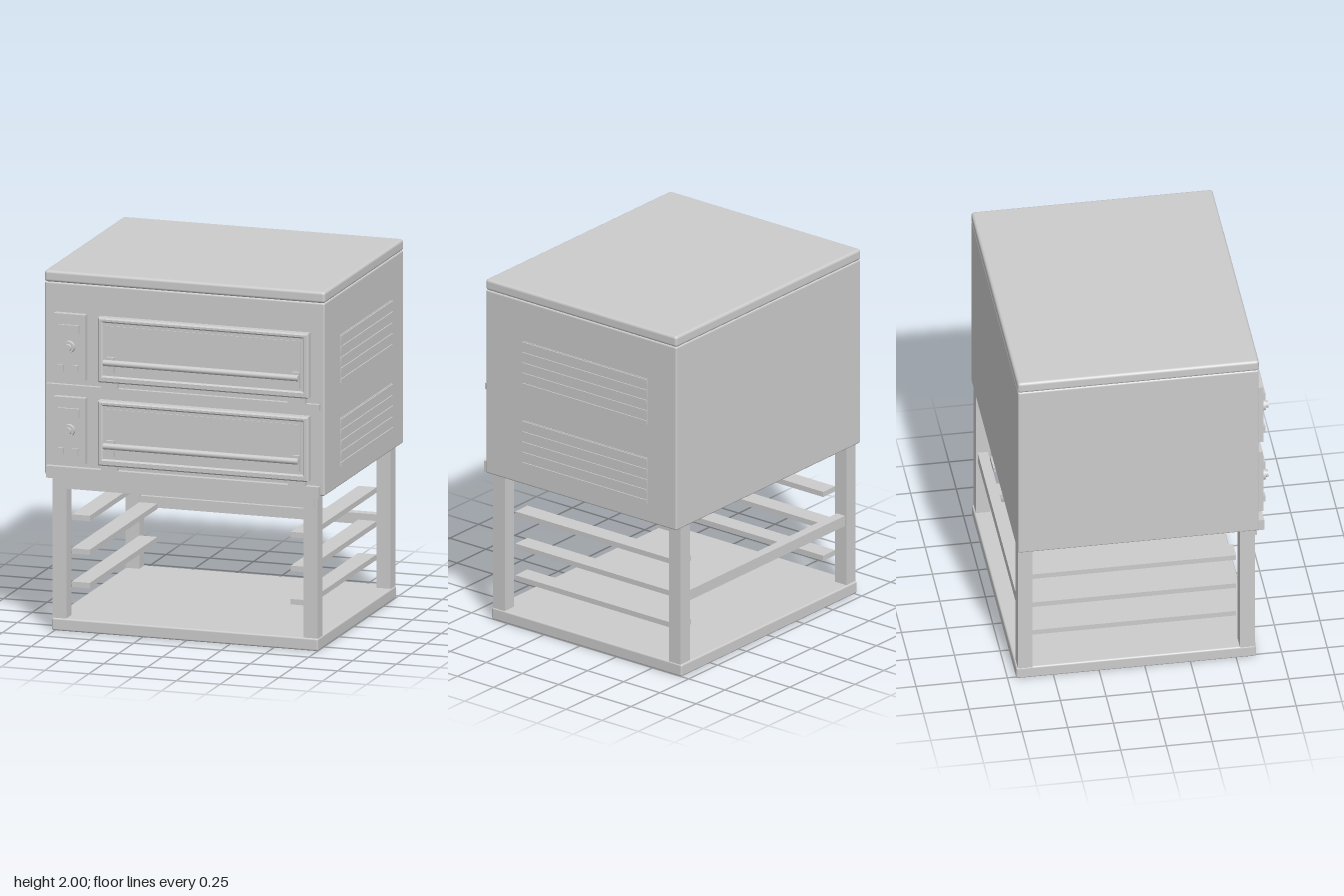
import * as THREE from 'three';
import { RoundedBoxGeometry } from 'three/addons/geometries/RoundedBoxGeometry.js';

const grey = new THREE.MeshStandardMaterial({ color: 0xcccccc });

function add(parent, name, geometry, x = 0, y = 0, z = 0) {
  const mesh = new THREE.Mesh(geometry, grey);
  mesh.name = name;
  mesh.position.set(x, y, z);
  parent.add(mesh);
  return mesh;
}

// Box given by its limits on each axis; a radius rounds its edges
function box(parent, name, [x0, x1], [y0, y1], [z0, z1], radius = 0) {
  const size = [x1 - x0, y1 - y0, z1 - z0];
  const geometry = radius ? new RoundedBoxGeometry(...size, 3, radius) : new THREE.BoxGeometry(...size);
  return add(parent, name, geometry, (x0 + x1) / 2, (y0 + y1) / 2, (z0 + z1) / 2);
}

function rectangle(path, x0, x1, y0, y1) {
  path.moveTo(x0, y0);
  path.lineTo(x1, y0);
  path.lineTo(x1, y1);
  path.lineTo(x0, y1);
  path.closePath();
  return path;
}

// Door: bevelled frame, recessed window, hinges and bar handle
function makeDoor() {
  const door = new THREE.Group();
  door.name = 'door';
  const b = 0.008;
  const shape = rectangle(new THREE.Shape(), -0.484 + b, 0.717 - b, 1.412 + b, 1.772 - b);
  shape.holes.push(rectangle(new THREE.Path(), -0.457 - b, 0.685 + b, 1.45 - b, 1.745 + b));
  const frame = new THREE.ExtrudeGeometry(shape, {
    depth: 0.04, bevelEnabled: true, bevelThickness: b, bevelSize: b, bevelSegments: 1,
  });
  add(door, 'doorFrame', frame, 0, 0, 0.62);
  box(door, 'doorPanel', [-0.46, 0.69], [1.44, 1.75], [0.61, 0.655]);
  box(door, 'doorWindow', [-0.442, 0.67], [1.462, 1.728], [0.62, 0.66]);
  for (const [x0, x1] of [[-0.468, -0.378], [0.6, 0.695]]) {
    box(door, 'hinge', [x0, x1], [1.376, 1.415], [0.61, 0.655]);
  }
  for (const [x0, x1] of [[-0.43, -0.388], [0.63, 0.67]]) {
    box(door, 'handleBracket', [x0, x1], [1.47, 1.558], [0.65, 0.68]);
  }
  add(door, 'handleBar', new THREE.CylinderGeometry(0.017, 0.017, 1.112, 24), 0.114, 1.53, 0.691)
    .rotation.z = Math.PI / 2;
  return door;
}

// Controls: plate, display, stepped knob and two buttons
function makeControls() {
  const controls = new THREE.Group();
  controls.name = 'controls';
  box(controls, 'controlPlate', [-0.74, -0.56], [1.41, 1.775], [0.61, 0.654]);
  box(controls, 'display', [-0.712, -0.592], [1.667, 1.717], [0.64, 0.668]);
  for (const [radius, z0, z1] of [[0.034, 0.65, 0.675], [0.02, 0.67, 0.692]]) {
    add(controls, 'knob', new THREE.CylinderGeometry(radius * 0.95, radius, z1 - z0, 24),
      -0.65, 1.595, (z0 + z1) / 2).rotation.x = Math.PI / 2;
  }
  for (const x of [-0.714, -0.63]) {
    box(controls, 'button', [x, x + 0.032], [1.455, 1.495], [0.64, 0.668]);
  }
  return controls;
}

// Side vent: thin backing plate with five slats
function makeVent() {
  const vent = new THREE.Group();
  vent.name = 'sideVent';
  box(vent, 'ventPlate', [0.785, 0.798], [1.435, 1.705], [-0.5, 0.36]);
  for (let i = 0; i < 5; i++) {
    const y = 1.45 + i * 0.06;
    box(vent, 'ventSlat', [0.79, 0.804], [y - 0.011, y + 0.011], [-0.5, 0.36]);
  }
  return vent;
}

function makeStand() {
  const stand = new THREE.Group();
  stand.name = 'stand';
  box(stand, 'basePlate', [-0.767, 0.754], [0, 0.07], [-0.704, 0.61], 0.01);
  for (const [x0, x1] of [[-0.765, -0.685], [0.67, 0.75]]) {
    for (const [z0, z1] of [[-0.695, -0.615], [0.52, 0.603]]) {
      box(stand, 'leg', [x0, x1], [0.06, 0.88], [z0, z1]);
    }
  }
  // Tray rails on both sides
  for (const y of [0.225, 0.41, 0.598]) {
    box(stand, 'trayRail', [-0.685, -0.582], [y, y + 0.03], [-0.617, 0.512]);
    box(stand, 'trayRail', [0.565, 0.67], [y, y + 0.03], [-0.617, 0.512]);
  }
  box(stand, 'backCrossbar', [-0.69, 0.675], [0.413, 0.473], [-0.685, -0.63]);
  box(stand, 'frontApron', [-0.746, 0.733], [0.795, 0.868], [0.59, 0.617]);
  return stand;
}

export function createModel() {
  const model = new THREE.Group();
  model.name = 'deckOven';
  model.add(makeStand());

  // Oven housing and its trim
  box(model, 'body', [-0.804, 0.794], [0.866, 1.938], [-0.7, 0.617], 0.01);
  box(model, 'lid', [-0.806, 0.796], [1.936, 2], [-0.702, 0.619], 0.016);
  box(model, 'lowerTrim', [-0.786, 0.77], [0.856, 0.922], [0.61, 0.65]);
  box(model, 'middleTrim', [-0.786, 0.77], [1.343, 1.378], [0.61, 0.642]);

  // Two identical baking decks
  for (const y of [0, -0.463]) {
    const deck = new THREE.Group();
    deck.name = y ? 'lowerDeck' : 'upperDeck';
    deck.add(makeDoor(), makeControls(), makeVent());
    deck.position.y = y;
    model.add(deck);
  }
  return model;
}
